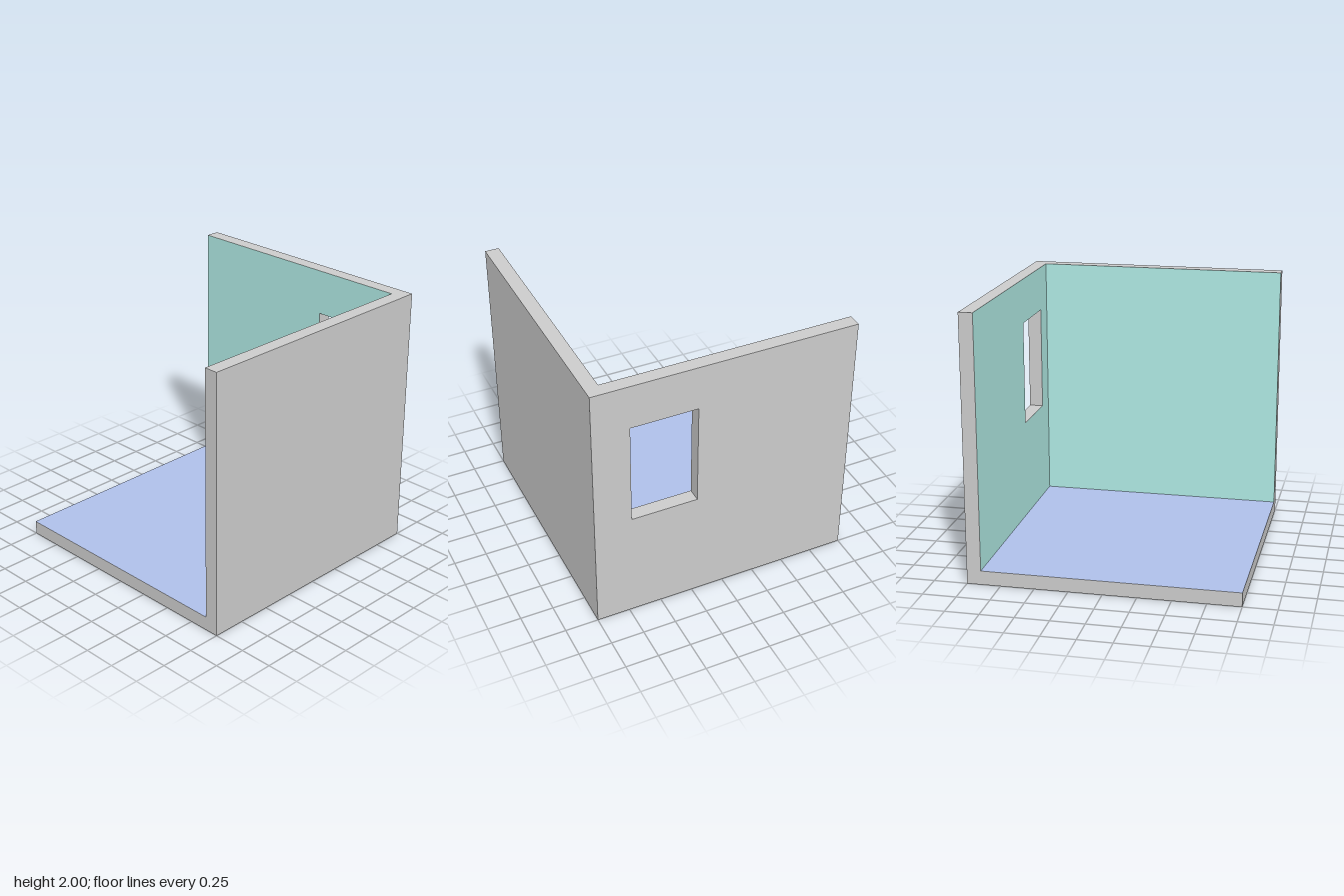
import * as THREE from 'three';

const T = 0.105;        // wall and floor thickness
const INNER = 1 - T;    // inner face of both walls
const SKIN = 0.001;     // paint stands just proud of the surface

const grey = new THREE.MeshStandardMaterial({ color: 0xcccccc });
const teal = new THREE.MeshStandardMaterial({ color: 0xafe9e3 });
const blue = new THREE.MeshStandardMaterial({ color: 0xafc0e9 });

// Rectangle shape, optionally with a rectangular hole
function rectangle(x0, y0, x1, y1, hole) {
  const corners = (a, b, c, d) => [[a, b], [c, b], [c, d], [a, d]].map(p => new THREE.Vector2(...p));
  const shape = new THREE.Shape(corners(x0, y0, x1, y1));
  if (hole) shape.holes.push(new THREE.Path(corners(...hole).reverse()));
  return shape;
}

export function createModel() {
  const model = new THREE.Group();
  const add = (name, geometry, material) => {
    const mesh = new THREE.Mesh(geometry, material);
    mesh.name = name;
    model.add(mesh);
  };

  // Floor slab, fitted inside the two walls
  add('floor', new THREE.BoxGeometry(2 - T, T, 2 - T).translate(-T / 2, T / 2, -T / 2), grey);
  add('floorCovering', new THREE.PlaneGeometry(2 - T, 2 - T).rotateX(-Math.PI / 2)
    .translate(-T / 2, T + SKIN, -T / 2), blue);

  // Solid front wall with its painted inner face
  add('frontWall', new THREE.BoxGeometry(2, 2, T).translate(0, 1, 1 - T / 2), grey);
  add('frontWallPaint', new THREE.PlaneGeometry(2 - T, 2 - T).rotateY(Math.PI)
    .translate(-T / 2, 1 + T / 2, INNER - SKIN), teal);

  // Side wall with a window opening, drawn in z and y, then turned to face inward
  const opening = [0.215, 0.86, 0.72, 1.66];
  add('windowWall', new THREE.ExtrudeGeometry(rectangle(-1, 0, INNER, 2, opening),
    { depth: T, bevelEnabled: false }).rotateY(-Math.PI / 2).translate(1, 0, 0), grey);
  add('windowWallPaint', new THREE.ShapeGeometry(rectangle(-1, T, INNER, 2, opening))
    .rotateY(-Math.PI / 2).translate(INNER - SKIN, 0, 0), teal);

  return model;
}
